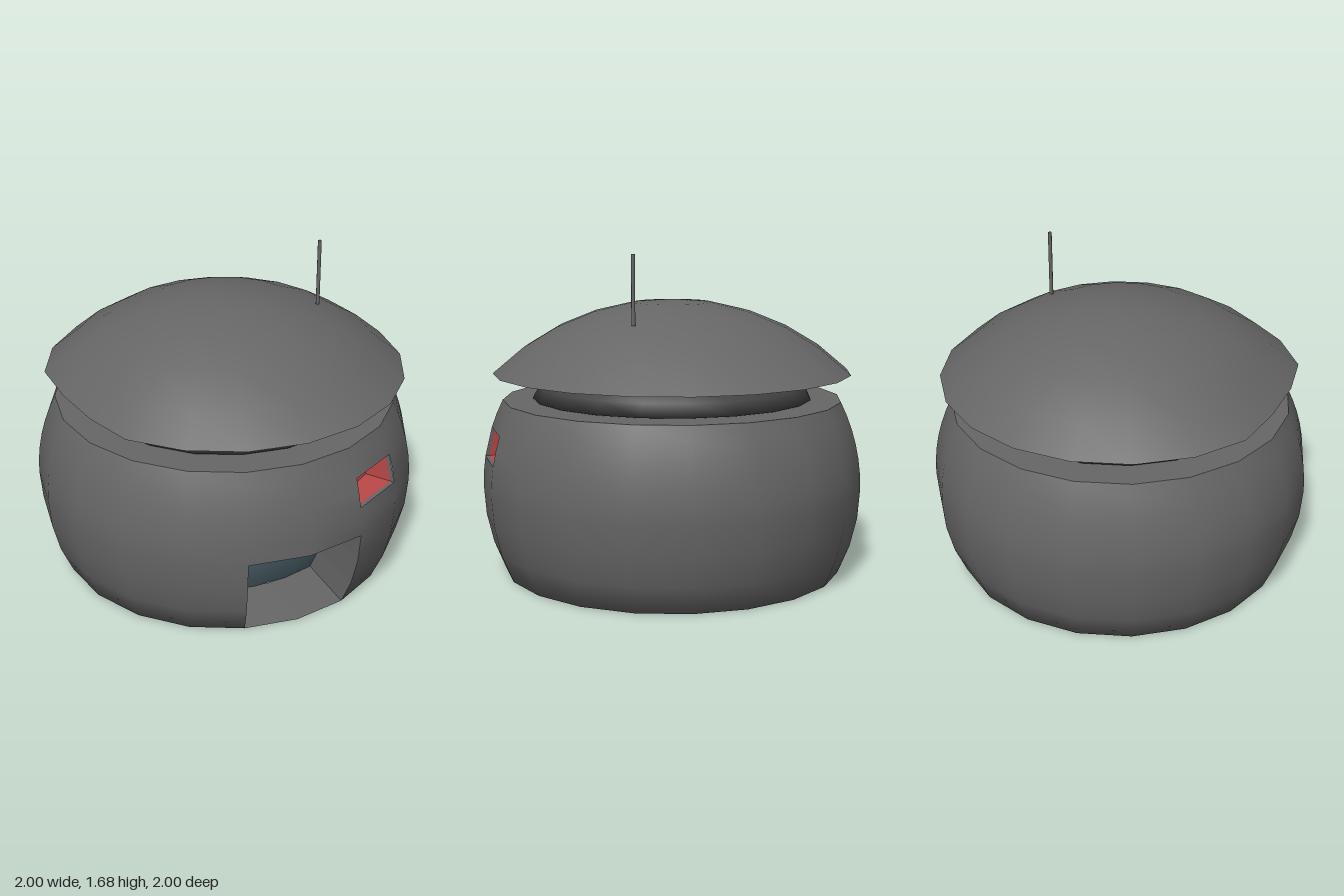
import * as THREE from 'three';
import { mergeVertices, mergeGeometries } from 'three/addons/utils/BufferGeometryUtils.js';

const rad = THREE.MathUtils.degToRad;
const STEP = 18, RING = 9;           // degrees per side and per ring
const CENTRE = Math.cos(rad(63));    // height of the body's widest ring
const EDGE = Math.sin(rad(63));      // radius of the body's floor and top
const EAVES = 1.047;                 // height of the roof's edge

const paint = (color, side = THREE.FrontSide, flatShading = false) =>
  new THREE.MeshStandardMaterial({ color, side, flatShading });

// Piece of the rounded wall; azimuth is measured from the front towards +x
function shell(a0, a1, t0, t1) {
  return new THREE.SphereGeometry(1, Math.round((a1 - a0) / STEP), Math.round((t1 - t0) / RING),
    rad(90 + a0), rad(a1 - a0), rad(t0), rad(t1 - t0)).translate(0, CENTRE, 0);
}

const wallPoints = (list) => list.map(([azimuth, theta]) => {
  const s = Math.sin(rad(theta));
  return new THREE.Vector3(s * Math.sin(rad(azimuth)), CENTRE + Math.cos(rad(theta)), s * Math.cos(rad(azimuth)));
});

// Walls joining two outlines with the same number of points
function loft(outer, inner) {
  const pos = [], index = [];
  outer.forEach((p, i) => {
    pos.push(...p.toArray(), ...inner[i].toArray());
    if (i) index.push(2 * i - 2, 2 * i, 2 * i - 1, 2 * i, 2 * i + 1, 2 * i - 1);
  });
  const g = new THREE.BufferGeometry();
  g.setAttribute('position', new THREE.Float32BufferAttribute(pos, 3));
  g.setIndex(index);
  g.computeVertexNormals();
  return g;
}

// Join shared corners so that shading runs smoothly across them
function smooth(g) {
  g.deleteAttribute('uv');
  g.deleteAttribute('normal');
  const merged = mergeVertices(g, 1e-3);
  merged.computeVertexNormals();
  return merged;
}

// Push the roof inwards on one side
function dent(g) {
  const p = g.attributes.position, v = new THREE.Vector3();
  const hit = new THREE.Vector3(-0.87, 1.12, 0.12);
  for (let i = 0; i < p.count; i++) {
    v.fromBufferAttribute(p, i);
    p.setX(i, v.x + 0.085 * Math.max(0, 1 - v.distanceTo(hit) / 0.45));
  }
  return g;
}

export function createModel() {
  const group = new THREE.Group();
  const add = (name, geometry, material) => {
    const mesh = new THREE.Mesh(geometry, material);
    mesh.name = name;
    group.add(mesh);
    return mesh;
  };
  const grey = paint(0x666666);
  const greyBoth = paint(0x666666, THREE.DoubleSide, true);
  const redBoth = paint(0xba4848, THREE.DoubleSide, true);

  // Rounded body and floor, leaving out the doorway and the window
  add('body', smooth(mergeGeometries([
    shell(0, 360, 63, 72),
    shell(36, 378, 72, 81),
    shell(0, 360, 81, 90),
    shell(18, 342, 90, 117),
    new THREE.CircleGeometry(EDGE, 20).rotateX(Math.PI / 2),
  ])), grey);
  add('bodyTop', new THREE.RingGeometry(0.6, EDGE, 20, 1).rotateX(-Math.PI / 2).translate(0, 2 * CENTRE, 0), greyBoth);

  // Doorway recess, tapering slightly towards the door at its back
  const taper = new THREE.Matrix4().makeScale(0.955, 0.967, 1).setPosition(0, 0.015, -0.32);
  const doorway = wallPoints([[0, 117], [-18, 117], [-18, 108], [-18, 99], [-18, 90], [0, 90],
    [18, 90], [18, 99], [18, 108], [18, 117], [0, 117]]);
  add('doorway', loft(doorway, doorway.map((p) => p.clone().applyMatrix4(taper))), greyBoth);
  add('door', shell(-18, 18, 90, 117).applyMatrix4(taper), paint(0x50666f, THREE.DoubleSide));

  // Window recess: grey rim, red sides and back
  const frame = wallPoints([[18, 72], [36, 72], [36, 81], [18, 81], [18, 72]]);
  const inward = new THREE.Vector3(-Math.sin(rad(34)), 0, -Math.cos(rad(34)));
  const frameAt = (depth) => frame.map((p) => p.clone().addScaledVector(inward, depth));
  add('windowRim', loft(frame, frameAt(0.02)), greyBoth);
  add('windowSides', loft(frameAt(0.02), frameAt(0.16)), redBoth);
  add('windowPane', shell(18, 36, 72, 81).translate(inward.x * 0.16, 0, inward.z * 0.16), redBoth);

  // Dark collar between body and roof
  const collar = [[0.64, 0.912], [0.735, 0.914], [0.7, 0.98], [0.67, 1.03], [0.64, 1.03], [0.62, EAVES]]
    .map(([r, y]) => new THREE.Vector2(r, y));
  add('collar', new THREE.LatheGeometry(collar, 20), paint(0x444444, THREE.DoubleSide));

  // Dented domed roof with a flat underside
  const roof = new THREE.SphereGeometry(1, 20, 5, 0, Math.PI * 2, 0, Math.PI / 4)
    .translate(0, -Math.SQRT1_2, 0).scale(1.33, 1.3, 1.33).translate(0, EAVES, 0);
  add('roof', smooth(dent(roof)), grey);
  const under = new THREE.CircleGeometry(1.33 * Math.SQRT1_2, 20).rotateX(Math.PI / 2).translate(0, EAVES, 0);
  add('roofUnderside', dent(under), grey);

  // Antenna
  add('antenna', new THREE.CylinderGeometry(0.01, 0.01, 0.35, 8), grey).position.set(0.495, 1.505, 0.09);

  return group;
}
